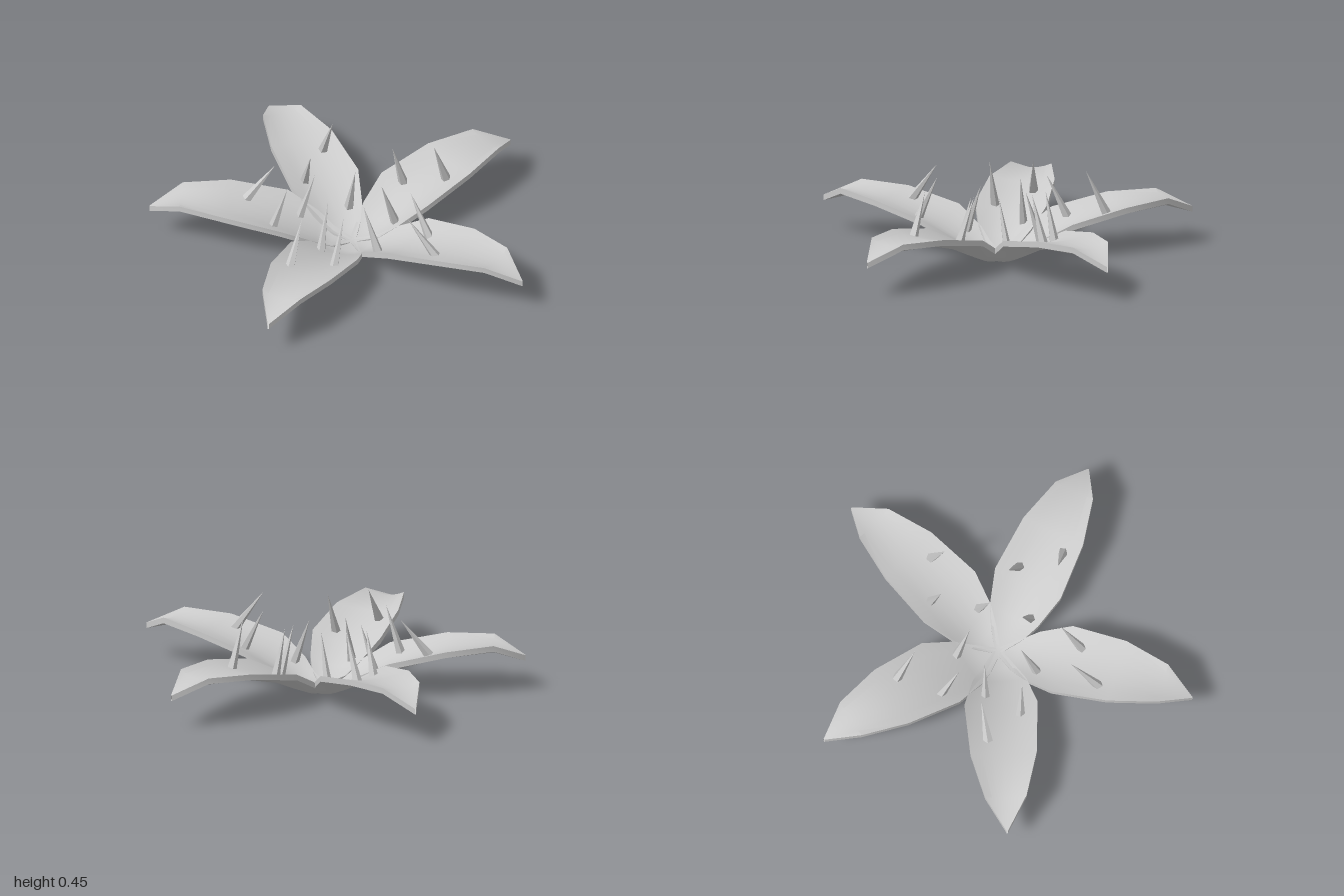
import * as THREE from 'three';
import { toCreasedNormals } from 'three/addons/utils/BufferGeometryUtils.js';

const material = new THREE.MeshStandardMaterial({ color: 0xcccccc, side: THREE.DoubleSide });
const spikeMaterial = new THREE.MeshStandardMaterial({ color: 0xcccccc, flatShading: true });

const CENTER_X = -0.025, CENTER_Z = -0.065, THICKNESS = 0.03, ACROSS = 6;

// Petal stations: distance from centre, half width, midline height, edge height
const STATIONS = [
  [0, 0.02, 0.03, 0.03],
  [0.1, 0.09, 0.03, 0.05],
  [0.18, 0.135, 0.065, 0.105],
  [0.34, 0.185, 0.14, 0.19],
  [0.63, 0.168, 0.23, 0.25],
  [0.87, 0.105, 0.24, 0.265],
  [1.03, 0.003, 0.185, 0.185],
];

// Cupped leaf blade with an even thickness, running along +z
function petalGeometry() {
  const positions = [], index = [], ring = 2 * (ACROSS + 1);
  for (const [r, half, mid, edge] of STATIONS) {
    for (let j = 0; j < ring; j++) {
      const top = j <= ACROSS;
      const t = ((top ? j : ring - 1 - j) / ACROSS) * 2 - 1;
      const y = mid + (edge - mid) * t * t - (top ? 0 : THICKNESS);
      positions.push(t * half, y, r);
    }
  }
  for (let i = 0; i < STATIONS.length - 1; i++) {
    for (let j = 0; j < ring; j++) {
      const a = i * ring + j, b = i * ring + (j + 1) % ring;
      index.push(a, a + ring, b, b, a + ring, b + ring);
    }
  }
  const geometry = new THREE.BufferGeometry();
  geometry.setAttribute('position', new THREE.Float32BufferAttribute(positions, 3));
  geometry.setIndex(index);
  return toCreasedNormals(geometry, 0.6);
}

// Thin faceted spike from base to tip
function makeSpike(base, tip) {
  const direction = tip.clone().sub(base);
  const length = direction.length();
  const geometry = new THREE.ConeGeometry(0.026, length, 5).translate(0, length / 2, 0);
  const spike = new THREE.Mesh(geometry, spikeMaterial);
  spike.position.copy(base);
  spike.quaternion.setFromUnitVectors(new THREE.Vector3(0, 1, 0), direction.normalize());
  spike.name = 'spike';
  return spike;
}

// Petal directions in degrees, each with outer, middle and inner spikes:
// base x, base z, tip x, tip z, tip height
const PETALS = [
  { angle: 0, spikes: [[-0.115, 0.5, -0.115, 0.35, 0.41], [0.065, 0.36, 0.065, 0.24, 0.4], [-0.095, 0.17, -0.095, 0.08, 0.34]] },
  { angle: 81, spikes: [[0.52, 0.11, 0.37, 0.13, 0.41], [0.4, -0.08, 0.28, -0.105, 0.39], [0.175, 0.05, 0.08, 0.03, 0.33]] },
  { angle: 153.5, spikes: [[0.29, -0.52, 0.26, -0.435, 0.45], [0.08, -0.46, 0.05, -0.39, 0.41], [0.145, -0.225, 0.1, -0.145, 0.35]] },
  { angle: 228.6, spikes: [[-0.38, -0.49, -0.295, -0.42, 0.44], [-0.38, -0.26, -0.31, -0.18, 0.38], [-0.13, -0.255, -0.07, -0.2, 0.35]] },
  { angle: 290, spikes: [[-0.56, 0.05, -0.435, -0.025, 0.4], [-0.365, 0.16, -0.29, 0.145, 0.41], [-0.315, -0.04, -0.235, -0.07, 0.37]] },
];
const BASE_HEIGHTS = [0.205, 0.155, 0.075];

export function createModel() {
  const model = new THREE.Group();
  model.name = 'spikedFlower';
  const blade = petalGeometry();
  for (const { angle, spikes } of PETALS) {
    const group = new THREE.Group();
    group.name = 'spikedPetal';
    const petal = new THREE.Mesh(blade, material);
    petal.name = 'petal';
    petal.position.set(CENTER_X, 0, CENTER_Z);
    petal.rotation.y = THREE.MathUtils.degToRad(angle);
    group.add(petal);
    spikes.forEach(([bx, bz, tx, tz, ty], i) => {
      const base = new THREE.Vector3(bx, BASE_HEIGHTS[i], bz);
      group.add(makeSpike(base, new THREE.Vector3(tx, ty, tz)));
    });
    model.add(group);
  }
  return model;
}
